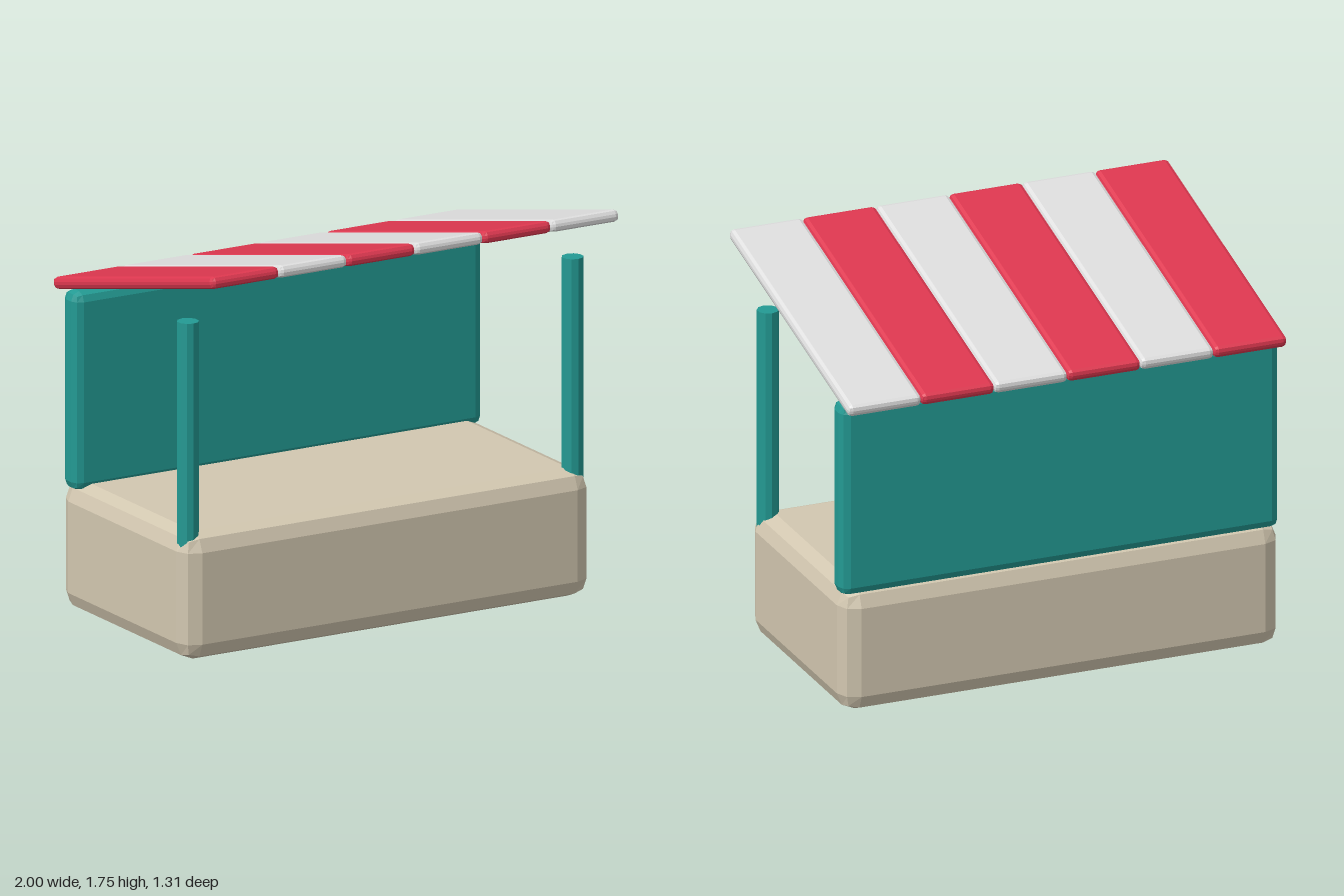
import * as THREE from 'three';
import { RoundedBoxGeometry } from 'three/addons/geometries/RoundedBoxGeometry.js';

function material(name, color) {
  const m = new THREE.MeshStandardMaterial({ color, flatShading: true });
  m.name = name;
  return m;
}

export function createModel() {
  const stall = new THREE.Group();
  stall.name = 'marketStall';

  const beige = material('beige', 0xd2c7b0);
  const teal = material('teal', 0x239a93);
  const red = material('red', 0xde3850);
  const white = material('white', 0xdedede);

  function add(parent, name, geometry, mat, x, y, z) {
    const mesh = new THREE.Mesh(geometry, mat);
    mesh.name = name;
    mesh.position.set(x, y, z);
    parent.add(mesh);
    return mesh;
  }

  // Box with bevelled edges, two facets per corner
  const bevelBox = (w, h, d, r) => new RoundedBoxGeometry(w, h, d, 1, r);

  // Counter and back wall
  add(stall, 'counter', bevelBox(2, 0.56, 1.04, 0.08), beige, 0, 0.28, -0.08);
  add(stall, 'backWall', bevelBox(2, 0.87, 0.12, 0.04), teal, 0, 0.965, -0.517);

  // Front posts, sunk into the counter
  const postGeometry = new THREE.CylinderGeometry(0.047, 0.047, 1, 10);
  for (const side of [-1, 1]) {
    add(stall, side < 0 ? 'rightPost' : 'leftPost', postGeometry, teal, side * 0.943, 0.98, 0.36);
  }

  // Sloping striped awning
  const awning = new THREE.Group();
  awning.name = 'awning';
  awning.position.y = 1.563;
  awning.rotation.x = -0.244;
  stall.add(awning);
  const count = 6;
  const slatGeometry = bevelBox(2 / count, 0.052, 1.342, 0.02);
  for (let i = 0; i < count; i++) {
    const x = -1 + (i + 0.5) * (2 / count);
    add(awning, 'awningSlat' + (i + 1), slatGeometry, i % 2 ? white : red, x, 0, 0);
  }

  return stall;
}
